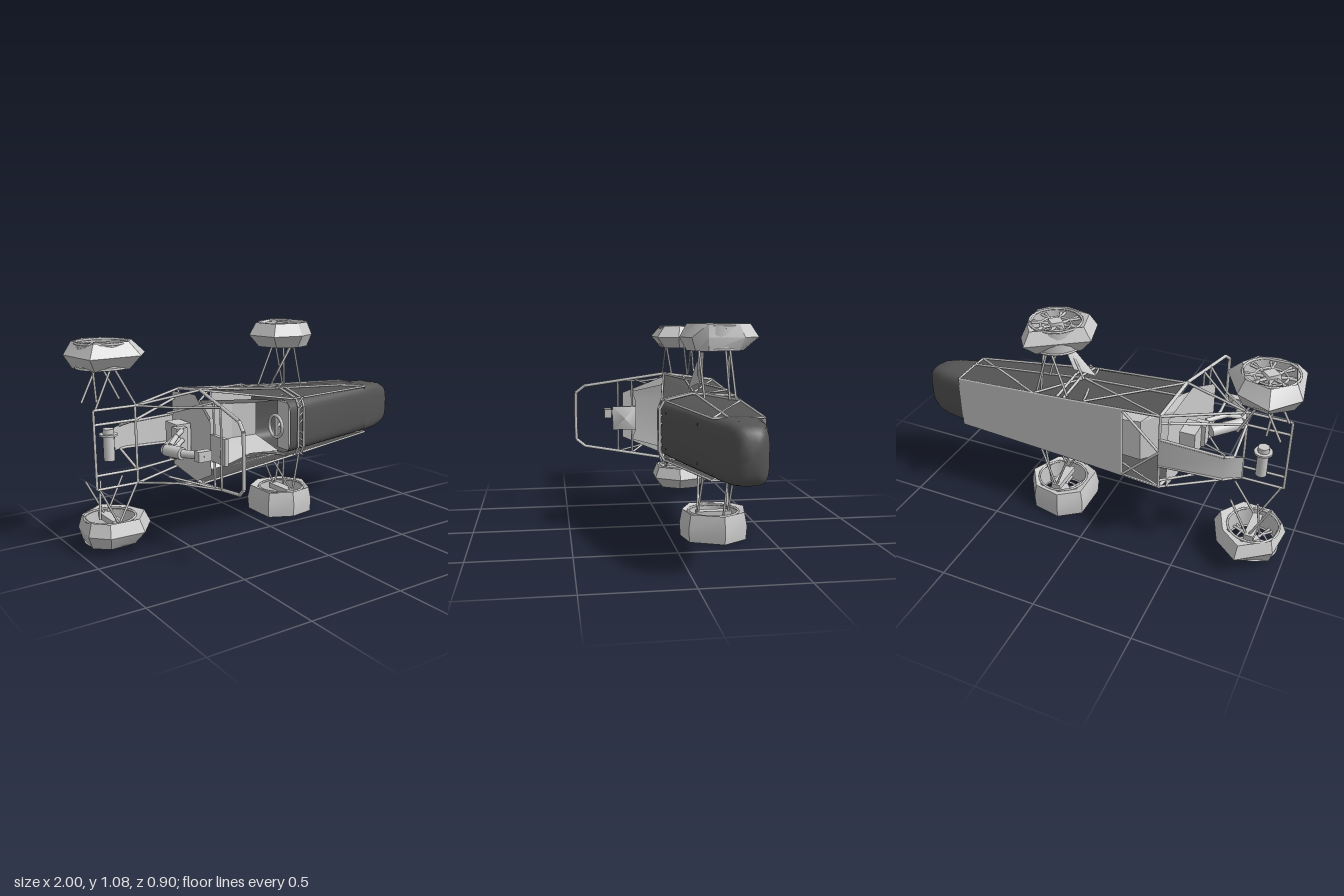
import * as THREE from 'three';
import { toCreasedNormals } from 'three/addons/utils/BufferGeometryUtils.js';

const grey = new THREE.MeshStandardMaterial({ color: 0xcccccc, side: THREE.DoubleSide });
const dark = new THREE.MeshStandardMaterial({ color: 0x555555, side: THREE.DoubleSide });
const MID = 0.543; // height of the car's centre plane; points below are [x, offset from it, z]

function add(parent, name, geometry, material = grey) {
  const mesh = new THREE.Mesh(geometry, material);
  mesh.name = name;
  parent.add(mesh);
  return mesh;
}

// Surface through rows of points
function sheet(rows, crease = 0.5, closed = false) {
  const n = rows[0].length, index = [];
  for (let i = 0; i < rows.length - 1; i++) {
    for (let j = 0; j < (closed ? n : n - 1); j++) {
      const k = (j + 1) % n, a = i * n + j, b = i * n + k;
      index.push(a, a + n, b, b, a + n, b + n);
    }
  }
  const g = new THREE.BufferGeometry();
  g.setAttribute('position', new THREE.Float32BufferAttribute(rows.flat(2), 3));
  g.setIndex(index);
  g.computeVertexNormals();
  return toCreasedNormals(g, crease);
}

// Straight tubes along a chain of points
function tubes(parent, name, points, r = 0.006, sides = 8) {
  for (let i = 0; i < points.length - 1; i++) {
    const a = new THREE.Vector3(...points[i]), b = new THREE.Vector3(...points[i + 1]);
    const m = add(parent, name, new THREE.CylinderGeometry(r, r, a.distanceTo(b), sides));
    m.position.copy(a).add(b).multiplyScalar(0.5);
    m.quaternion.setFromUnitVectors(new THREE.Vector3(0, 1, 0), b.sub(a).normalize());
  }
}

function box(parent, name, size, at, material = grey) {
  add(parent, name, new THREE.BoxGeometry(...size), material).position.set(...at);
}

// Rounded cross-section of the front bodywork
function section(x, half, low, high, power = 5) {
  const ring = [], c = (low + high) / 2, h = (high - low) / 2;
  for (let i = 0; i < 32; i++) {
    const t = (i / 32) * Math.PI * 2;
    const p = (q) => Math.sign(q) * Math.abs(q) ** (2 / power);
    ring.push([x, half * p(Math.cos(t)), c + h * p(Math.sin(t))]);
  }
  return ring;
}

// Angular tyre with an open spoked rim; outline holds [x, z] corners, low and high scale its two shoulders
function wheel(name, cx, cz, v, half, [low, high], outline, outside) {
  const g = new THREE.Group();
  g.name = name;
  g.position.set(cx, v, cz);
  const pts = outline.map(([x, z]) => [x - cx, z - cz]);
  const ring = (scale, y) => pts.map(([x, z]) => {
    const s = Math.max(scale, 0.143 / Math.hypot(x, z));
    return [x * s, y, z * s];
  });
  const rim = (y) => pts.map(([x, z]) => {
    const d = Math.hypot(x, z);
    return [x / d * 0.138, y, z / d * 0.138];
  });
  add(g, 'tyre', sheet([rim(-half * 0.85), ring(low, -half), ring(1, 0), ring(high, half), rim(half * 0.85)], 0.5, true));
  add(g, 'rimBarrel', new THREE.CylinderGeometry(0.128, 0.128, half * 1.8, 24, 1, true));
  for (const y of [-1, 1]) {
    const lip = add(g, 'rimLip', new THREE.TorusGeometry(0.128, 0.006, 6, 28));
    lip.rotation.x = Math.PI / 2;
    lip.position.y = y * half * 0.9;
  }
  const face = outside * half * 0.6;
  add(g, 'hub', new THREE.CylinderGeometry(0.042, 0.05, 0.04, 4)).position.y = face;
  for (let i = 0; i < 16; i++) {
    const a = (i / 16) * Math.PI * 2, b = a + (i % 2 ? 0.28 : -0.28);
    tubes(g, 'spoke', [[0.03 * Math.cos(a), face, 0.03 * Math.sin(a)], [0.128 * Math.cos(b), face, 0.128 * Math.sin(b)]], 0.007, 5);
  }
  const band = add(g, 'spokeRing', new THREE.TorusGeometry(0.075, 0.006, 5, 16));
  band.rotation.x = Math.PI / 2;
  band.position.y = face;
  box(g, 'upright', [0.05, 0.03, 0.18], [0, -outside * half * 0.7, 0]);
  return g;
}

export function createModel() {
  const model = new THREE.Group(), car = new THREE.Group();
  model.name = 'openWheelRacer';
  car.name = 'car';
  car.position.y = MID;
  model.add(car);

  // Front cowl and nose
  add(car, 'frontCowl', sheet([section(0.1, 0.15, -0.34, 0.04), section(0.28, 0.148, -0.34, 0.005),
    section(0.76, 0.14, -0.345, -0.1)], 0.5, true), dark);
  add(car, 'nose', sheet([section(0.76, 0.142, -0.347, -0.1), section(0.87, 0.14, -0.33, -0.13, 4.5), section(0.94, 0.128, -0.313, -0.152, 4),
    section(0.98, 0.105, -0.288, -0.165, 3.5), section(0.997, 0.07, -0.265, -0.18, 3), section(1, 0, -0.225, -0.22, 3)], 0.9, true), dark);
  for (const s of [-1, 1]) for (const x of [0.2, 0.6])
    box(car, 'fastener', [0.012, 0.012, 0.006], [x, s * 0.09, 0.035 - (x - 0.1) * 0.21], dark);

  // Floor panels
  add(car, 'floor', sheet([[-0.16, 0.195], [0.13, 0.175], [0.76, 0.14]].map(([x, h]) => [[x, -h, -0.347], [x, h, -0.347]])));
  add(car, 'rearFloor', sheet([[-0.76, 0.06, -0.29], [-0.68, 0.065, -0.335], [-0.36, 0.078, -0.347]]
    .map(([x, h, z]) => [[x, -h, z], [x, h, z]])));

  for (const s of [-1, 1]) {
    const P = (...list) => list.map(([x, v, z]) => [x, v * s, z]);

    // Side panels and their tube frame
    add(car, 'sidePanel', sheet([
      P([-0.36, 0.205, -0.345], [-0.375, 0.225, -0.2], [-0.39, 0.24, -0.06]),
      P([0.13, 0.17, -0.345], [0.13, 0.183, -0.14], [0.13, 0.15, 0.02]),
      P([0.76, 0.138, -0.345], [0.76, 0.14, -0.2], [0.76, 0.136, -0.105])], 0.3), dark);
    const sideFrame = [
      P([-0.39, 0.245, -0.06], [0.13, 0.155, 0.025], [0.76, 0.138, -0.105], [0.76, 0.138, -0.34]),
      P([-0.36, 0.21, -0.34], [0.13, 0.175, -0.34], [0.76, 0.138, -0.34]),
      P([-0.38, 0.235, -0.17], [0.13, 0.188, -0.14], [0.76, 0.14, -0.18]),
      P([-0.36, 0.21, -0.34], [0.13, 0.188, -0.14], [0.32, 0.165, -0.34], [0.76, 0.138, -0.105]),
      P([-0.39, 0.245, -0.06], [0.04, 0.19, -0.34], [0.13, 0.155, 0.025]),
    ];
    sideFrame.forEach((p) => tubes(car, 'sideFrame', p));

    // Main hoop, braces and front hoop
    tubes(car, 'mainHoop', P([-0.36, 0.21, -0.34], [-0.39, 0.245, -0.06], [-0.45, 0.175, 0.39], [-0.46, 0.135, 0.44], [-0.46, 0, 0.442]), 0.009, 10);
    tubes(car, 'hoopBrace', P([-0.43, 0.205, 0.2], [-0.57, 0.19, 0.02], [-0.72, 0.195, -0.12]));
    tubes(car, 'hoopBrace', P([-0.42, 0.215, 0.12], [-0.6, 0.16, -0.02]));
    for (const x of [0.152, 0.188])
      tubes(car, 'frontHoop', P([x, 0.175, -0.34], [x, 0.188, -0.12], [x, 0.155, 0.02], [x, 0.11, 0.045], [x, 0, 0.045]), 0.007);
    for (const v of [0.01, 0.05, 0.09, 0.13]) tubes(car, 'hoopLacing', P([0.152, v, 0.04], [0.188, v + 0.03, 0.035]), 0.005);

    // Rear frame
    const rearFrame = [
      P([-0.39, 0.245, -0.06], [-0.72, 0.195, -0.12], [-0.935, 0.195, -0.12], [-0.935, 0, -0.12]),
      P([-0.36, 0.21, -0.34], [-0.72, 0.195, -0.12], [-0.72, 0, -0.12]),
      P([-0.935, 0.125, -0.12], [-0.72, 0.125, -0.12], [-0.36, 0.17, -0.34]),
      P([-0.72, 0.125, -0.12], [-0.72, 0.062, -0.31], [-0.68, 0.065, -0.335], [-0.36, 0.078, -0.342]),
      P([-0.36, 0.21, -0.34], [-0.36, 0, -0.34]),
      P([-0.16, 0.195, -0.34], [-0.16, 0, -0.34]),
      P([-0.16, 0.195, -0.34], [-0.36, 0, -0.34]),
    ];
    rearFrame.forEach((p) => tubes(car, 'rearFrame', p, 0.007));

    // Suspension arms
    const arms = [
      P([0.25, 0.43, -0.14], [0.12, 0.2, -0.17]), P([0.25, 0.43, -0.14], [0.32, 0.17, -0.16]),
      P([0.24, 0.43, -0.3], [0.14, 0.18, -0.32]), P([0.24, 0.43, -0.3], [0.31, 0.165, -0.32]),
      P([0.28, 0.43, -0.27], [0.3, 0.165, -0.29]),
      P([-0.82, 0.4, -0.14], [-0.92, 0.195, -0.13]), P([-0.82, 0.4, -0.14], [-0.7, 0.195, -0.16]),
      P([-0.82, 0.4, -0.3], [-0.92, 0.2, -0.3]), P([-0.82, 0.4, -0.3], [-0.72, 0.2, -0.3]),
      P([-0.87, 0.4, -0.26], [-0.85, 0.2, -0.28]),
    ];
    arms.forEach((p) => tubes(car, 'suspensionArm', p));
  }
  // Thin fairing on one front arm
  add(car, 'armFairing', sheet([[[0.23, 0.4, -0.15], [0.24, 0.4, -0.17]], [[0.07, 0.2, -0.12], [0.17, 0.25, -0.18]]]));

  // Cross tubes of the hoop
  tubes(car, 'hoopCrossTube', [[-0.43, -0.205, 0.2], [-0.43, 0.205, 0.2]]);
  tubes(car, 'hoopCrossTube', [[-0.42, -0.215, 0.12], [-0.42, 0.215, 0.12]]);

  // Firewall, seat and headrest
  add(car, 'firewall', sheet([[-0.4, 0.2, -0.34], [-0.42, 0.225, -0.06], [-0.47, 0.13, 0.17]].map(([x, h, z]) => [[x, -h, z], [x, h, z]])));
  add(car, 'seat', sheet([[-0.44, 0.14, 0.1, 0.12], [-0.38, 0.19, -0.12, -0.08], [-0.24, 0.175, -0.29, -0.07],
    [-0.05, 0.15, -0.3, -0.12], [0.09, 0.14, -0.27, -0.05]].map(([x, h, z, top]) =>
    [[x, -h, top], [x, -h * 0.65, z], [x, h * 0.65, z], [x, h, top]]), 0.2));
  const rest = add(car, 'headrest', new THREE.ConeGeometry(0.095, 0.03, 4).rotateY(Math.PI / 4).rotateZ(-Math.PI / 2));
  rest.position.set(-0.395, -0.012, 0.165);
  box(car, 'headrestBase', [0.02, 0.134, 0.134], [-0.42, -0.012, 0.165]);

  // Dashboard and steering wheel
  box(car, 'dashboard', [0.02, 0.26, 0.1], [0.12, 0, -0.04]);
  const steering = add(car, 'steeringWheel', new THREE.TorusGeometry(0.06, 0.009, 8, 20).rotateY(Math.PI / 2));
  steering.position.set(0.07, 0, -0.05);
  tubes(car, 'steeringColumn', [[0.07, 0, -0.05], [0.25, 0, -0.14]], 0.01);
  box(car, 'steeringSpoke', [0.012, 0.12, 0.02], [0.07, 0, -0.05]);

  // Engine, intake and differential
  box(car, 'engine', [0.08, 0.14, 0.12], [-0.46, 0, -0.17]);
  box(car, 'engineHead', [0.06, 0.12, 0.06], [-0.49, 0, -0.1]);
  tubes(car, 'intake', [[-0.53, 0, -0.07], [-0.65, 0, 0.06], [-0.62, 0, 0.16]], 0.03, 12);
  tubes(car, 'intakeNeck', [[-0.62, 0, 0.16], [-0.55, 0, 0.26]], 0.02, 12);
  box(car, 'throttle', [0.07, 0.05, 0.04], [-0.56, 0, 0.25]);
  for (const v of [-0.05, 0, 0.05]) tubes(car, 'intakeRunner', [[-0.5, v, -0.06], [-0.58, v, 0.03], [-0.64, v * 0.5, 0.08]], 0.013);
  tubes(car, 'differential', [[-0.83, -0.08, -0.2], [-0.83, 0.08, -0.2]], 0.028, 14);
  tubes(car, 'sprocket', [[-0.83, 0.045, -0.2], [-0.83, 0.055, -0.2]], 0.045, 20);

  // Wheels, each with its own faceted tyre
  car.add(
    wheel('frontLeftWheel', 0.235, -0.225, 1.017 - MID, 0.066, [0.55, 0.8],
      [[0.035, -0.25], [0.3, -0.435], [0.36, -0.35], [0.362, -0.17], [0.34, -0.09], [0.24, -0.045], [0.08, -0.08]], 1),
    wheel('frontRightWheel', 0.235, -0.225, 0.07 - MID, 0.07, [0.97, 0.92],
      [[0.07, -0.12], [0.07, -0.33], [0.18, -0.41], [0.33, -0.38], [0.415, -0.25], [0.34, -0.08], [0.2, -0.055]], -1),
    wheel('rearLeftWheel', -0.83, -0.23, 0.985 - MID, 0.066, [0.55, 0.68],
      [[-0.995, -0.31], [-0.88, -0.445], [-0.72, -0.37], [-0.62, -0.19], [-0.7, -0.07], [-0.96, -0.065]], 1),
    wheel('rearRightWheel', -0.83, -0.23, 0.105 - MID, 0.066, [0.6, 0.85],
      [[-0.98, -0.15], [-0.96, -0.33], [-0.8, -0.448], [-0.68, -0.35], [-0.62, -0.2], [-0.72, -0.06], [-0.9, -0.065]], -1));
  return model;
}
